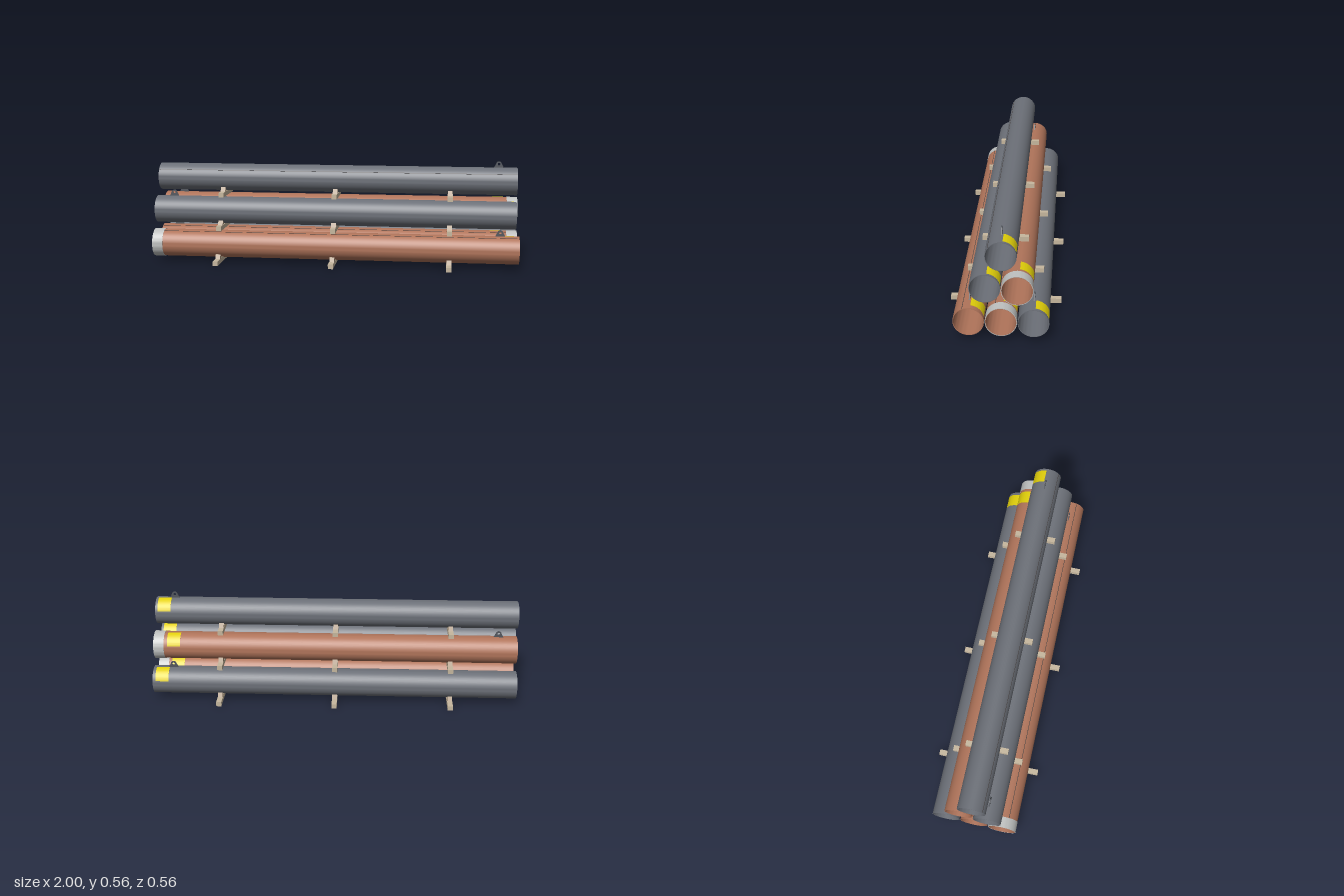
import * as THREE from 'three';
import { toCreasedNormals } from 'three/addons/utils/BufferGeometryUtils.js';

const paint = (name, color) => {
  const m = new THREE.MeshStandardMaterial({ color });
  m.name = name;
  return m;
};
const R = 0.075;
const rad = THREE.MathUtils.degToRad;

// Extrude a cross-section along x, from x0 to x1 (shape x becomes -z)
function alongX(shape, x0, x1, segments = 32) {
  const g = new THREE.ExtrudeGeometry(shape, { depth: x1 - x0, bevelEnabled: false, curveSegments: segments });
  g.rotateY(Math.PI / 2).translate(x0, 0, 0);
  return toCreasedNormals(g, 0.5);
}

// Full hollow tube
function tube(rOut, rIn, x0, x1) {
  const s = new THREE.Shape().absarc(0, 0, rOut, 0, Math.PI * 2, false);
  s.holes.push(new THREE.Path().absarc(0, 0, rIn, 0, Math.PI * 2, true));
  return alongX(s, x0, x1);
}

// Curved plate on the tube; angles rise from the back (-z) over the top
function plate(rOut, rIn, a0, a1, x0, x1) {
  const s = new THREE.Shape();
  s.absarc(0, 0, rOut, rad(a0), rad(a1), false);
  s.absarc(0, 0, rIn, rad(a1), rad(a0), true);
  return alongX(s, x0, x1, 12);
}

// Lifting eye: rounded plate with a hole, standing on the tube
function eyeGeometry() {
  const s = new THREE.Shape();
  s.moveTo(-0.027, -0.002);
  s.lineTo(0.027, -0.002);
  s.lineTo(0.015, 0.022);
  s.absarc(0, 0.018, 0.0155, 0.2, Math.PI - 0.2, false);
  s.closePath();
  s.holes.push(new THREE.Path().absarc(0, 0.019, 0.007, 0, Math.PI * 2, true));
  const g = new THREE.ExtrudeGeometry(s, { depth: 0.006, bevelEnabled: false, curveSegments: 10 });
  g.translate(0, 0, -0.003);
  return toCreasedNormals(g, 0.6);
}

// Chock whose inner face follows the tube; side = +1 front, -1 back
function chockGeometry(side) {
  const s = new THREE.Shape();
  s.moveTo(0.033, -R);
  s.lineTo(0.07, -R);
  s.lineTo(0.057, -0.051);
  s.absarc(0, 0, R + 0.0005, rad(-42), rad(-64), true);
  s.closePath();
  const g = new THREE.ExtrudeGeometry(s, { depth: 0.026, bevelEnabled: false, curveSegments: 6 });
  g.translate(0, 0, -0.013).rotateY(-side * Math.PI / 2);
  return toCreasedNormals(g, 0.5);
}

export function createModel() {
  const steel = paint('grey coating', 0x6c7078);
  const copper = paint('copper coating', 0xb0745a);
  const wood = paint('timber', 0xc6b79e);
  const chockWood = paint('chock wood', 0xab957c);
  const white = paint('pale end band', 0xbfc1c0);
  const yellow = paint('yellow label', 0xe3d10a);
  const dark = paint('dark steel', 0x53575e);
  const seamPaint = paint('weld seam', 0x4a4443);

  const model = new THREE.Group();
  model.name = 'pipeStack';
  const add = (parent, name, geometry, material, x = 0, y = 0, z = 0) => {
    const mesh = new THREE.Mesh(geometry, material);
    mesh.name = name;
    mesh.position.set(x, y, z);
    parent.add(mesh);
    return mesh;
  };

  // Pipes: centre, ends, label start, eye position, optional seam angle and band end
  const pipes = [
    { name: 'bottomFrontPipe', mat: copper, y: 0.1, z: 0.155, x0: -0.995, x1: 1, label: 0.9, eye: 0.9, seam: 113, band: -1 },
    { name: 'bottomMiddlePipe', mat: copper, y: 0.1, z: 0, x0: -0.99, x1: 0.995, label: 0.85, eye: -0.9, seam: 113, band: 1 },
    { name: 'bottomBackPipe', mat: steel, y: 0.1, z: -0.155, x0: -0.99, x1: 0.998, label: 0.91, eye: 0.89 },
    { name: 'middleFrontPipe', mat: steel, y: 0.275, z: 0.0775, x0: -1, x1: 0.985, label: 0.9, eye: -0.905 },
    { name: 'middleBackPipe', mat: copper, y: 0.275, z: -0.0775, x0: -0.99, x1: 0.997, label: 0.85, eye: -0.89, band: 1 },
    { name: 'topPipe', mat: steel, y: 0.45, z: 0, x0: -0.995, x1: 0.99, label: 0.905, eye: 0.89, seam: 143 },
  ];
  for (const p of pipes) {
    const g = new THREE.Group();
    g.name = p.name;
    g.position.set(0, p.y, p.z);
    model.add(g);
    add(g, 'pipeWall', tube(R, R - 0.003, p.x0, p.x1), p.mat);
    add(g, 'label', plate(R + 0.0012, R - 0.001, 15, 83, p.label, p.label + 0.072), yellow);
    add(g, 'liftingEye', eyeGeometry(), dark, p.eye, R, 0);
    if (p.seam) add(g, 'weldSeam', plate(R + 0.0008, R - 0.001, p.seam - 1, p.seam + 1, p.x0 + 0.002, p.x1 - 0.002), seamPaint);
    if (p.band) {
      const [a, b] = p.band < 0 ? [p.x0 - 0.0005, p.x0 + 0.057] : [p.x1 - 0.057, p.x1 + 0.0005];
      add(g, 'endBand', tube(R + 0.0018, R - 0.001, a, b), white);
    }
  }

  // Timber bearers under each layer, with chocks against the outer pipes
  const layers = [
    { name: 'bottom', top: 0.025, half: 0.282, outer: 0.155 },
    { name: 'middle', top: 0.2, half: 0.192, outer: 0.0775 },
    { name: 'top', top: 0.375, half: 0.115, outer: 0 },
  ];
  for (const l of layers) {
    for (const x of [-0.63, 0, 0.63]) {
      add(model, l.name + 'Bearer', new THREE.BoxGeometry(0.028, 0.025, l.half * 2), wood, x, l.top - 0.0125, 0);
      for (const side of [-1, 1]) {
        add(model, l.name + 'Chock', chockGeometry(side), chockWood, x, l.top + R, side * l.outer);
      }
    }
  }
  return model;
}
